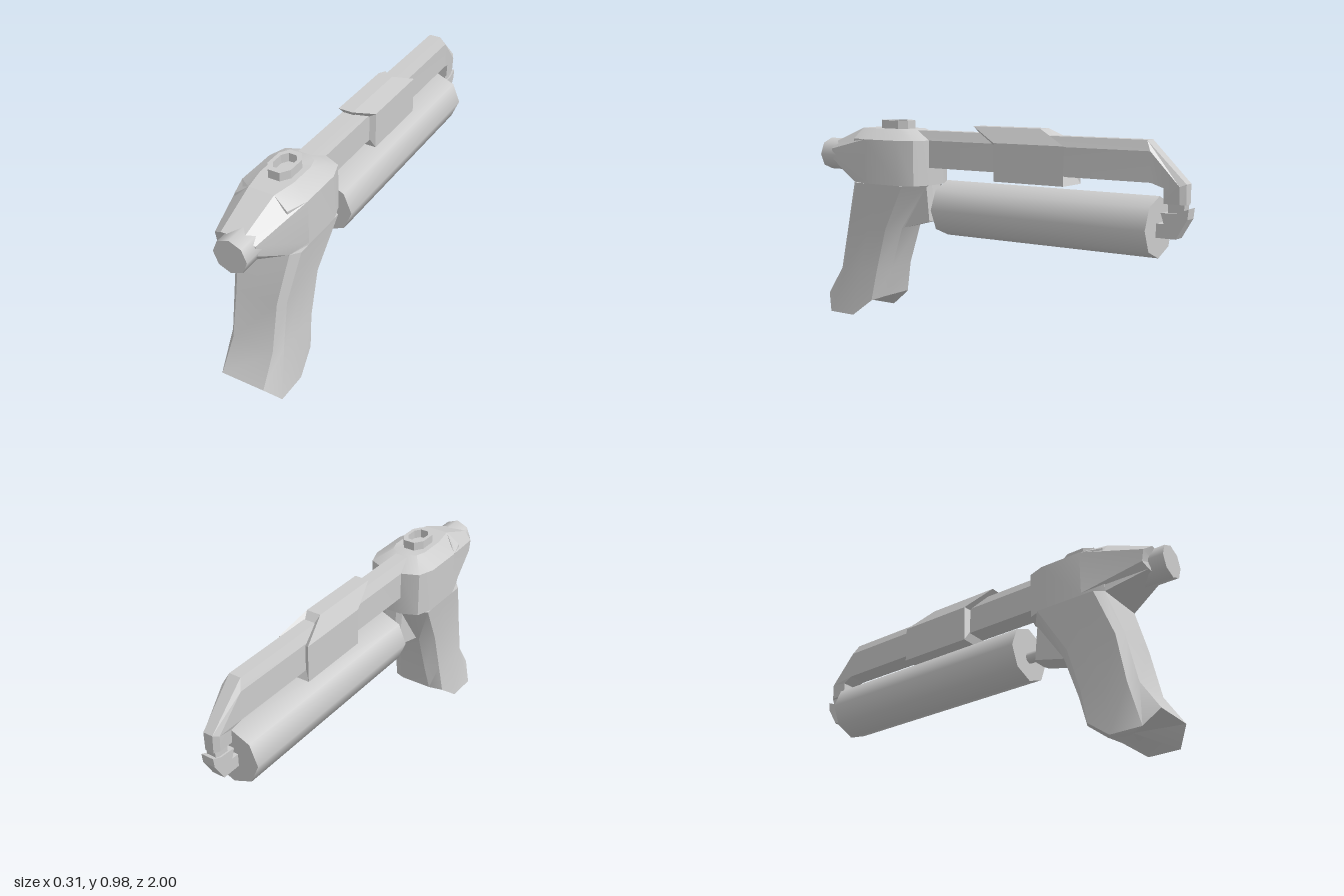
import * as THREE from 'three';
import { toCreasedNormals } from 'three/addons/utils/BufferGeometryUtils.js';

const material = new THREE.MeshStandardMaterial({ color: 0xcccccc, side: THREE.DoubleSide });

// Closes a half outline (x >= 0) into a symmetric ring.
const mirror = (half) => [...half, ...half.slice().reverse().map(([x, y, z]) => [-x, y, z])];

// Skins a row of half outlines, closes both ends and turns the faces outward.
function loft(halves, crease = 0.5) {
  const rings = halves.map(mirror);
  const n = rings[0].length;
  const positions = rings.flat(2);
  const index = [];
  for (let r = 0; r < rings.length - 1; r++) {
    for (let i = 0; i < n; i++) {
      const a = r * n + i, b = r * n + (i + 1) % n;
      index.push(a, b, b + n, a, b + n, a + n);
    }
  }
  for (const r of [0, rings.length - 1]) {
    const centre = [0, 1, 2].map((k) => rings[r].reduce((s, p) => s + p[k], 0) / n);
    const c = positions.length / 3;
    positions.push(...centre);
    for (let i = 0; i < n; i++) {
      const a = r * n + i, b = r * n + (i + 1) % n;
      index.push(...(r === 0 ? [c, b, a] : [c, a, b]));
    }
  }
  const point = (i) => new THREE.Vector3().fromArray(positions, i * 3);
  let volume = 0;
  for (let i = 0; i < index.length; i += 3) {
    volume += point(index[i]).dot(point(index[i + 1]).cross(point(index[i + 2])));
  }
  if (volume < 0) index.reverse();
  const geometry = new THREE.BufferGeometry();
  geometry.setAttribute('position', new THREE.Float32BufferAttribute(positions, 3));
  geometry.setIndex(index);
  return toCreasedNormals(geometry, crease);
}

// Side outline in (z, y), given a thickness across x.
function plate(points, width) {
  const shape = new THREE.Shape(points.map(([z, y]) => new THREE.Vector2(-z, y)));
  return new THREE.ExtrudeGeometry(shape, { depth: width, bevelEnabled: false })
    .translate(0, 0, -width / 2).rotateY(Math.PI / 2);
}

// Smooth eight-sided rod along z.
const rod = (radius, z0, z1, x, y) =>
  new THREE.CylinderGeometry(radius, radius, z1 - z0, 8)
    .rotateX(Math.PI / 2).translate(x, y, (z0 + z1) / 2);

export function createModel() {
  const group = new THREE.Group();
  const add = (name, geometry) => {
    const mesh = new THREE.Mesh(geometry, material);
    mesh.name = name;
    group.add(mesh);
  };

  // Grip: waisted, raked handle with a flared foot
  add('grip', loft([
    [[0.105, 0.08, 0.96], [0.157, 0, 0.90], [0.157, 0, 0.75], [0.14, 0.085, 0.64], [0.08, 0.10, 0.605]],
    [[0.10, 0.22, 0.87], [0.13, 0.22, 0.83], [0.13, 0.23, 0.72], [0.13, 0.24, 0.61], [0.07, 0.24, 0.565]],
    [[0.10, 0.45, 0.82], [0.13, 0.45, 0.79], [0.13, 0.45, 0.66], [0.13, 0.45, 0.55], [0.07, 0.45, 0.495]],
    [[0.125, 0.67, 0.75], [0.157, 0.67, 0.71], [0.157, 0.67, 0.55], [0.157, 0.67, 0.42], [0.06, 0.67, 0.345]],
  ], 0.6));

  // Housing: rounded block with a bevelled top
  const plan = [[0.05, 0.335], [0.13, 0.37], [0.157, 0.45], [0.157, 0.65], [0.125, 0.75]];
  const topPlan = [[0.03, 0.43], [0.065, 0.45], [0.08, 0.50], [0.08, 0.63], [0.06, 0.74]];
  const level = (outline, y) => outline.map(([x, z]) => [x, y, z]);
  add('housing', loft([level(plan, 0.67), level(plan, 0.885), level(topPlan, 0.935)]));

  // Nose: tapers from the housing to the knob
  add('nose', loft([
    [[0.125, 0.67, 0.75], [0.157, 0.68, 0.65], [0.157, 0.885, 0.65], [0.06, 0.935, 0.74]],
    [[0.06, 0.745, 0.93], [0.095, 0.77, 0.92], [0.095, 0.825, 0.93], [0.05, 0.855, 0.95]],
  ], 0.3));
  add('knob', rod(0.079, 0.85, 1.0, 0.023, 0.795));

  // Collar: oval rim around the opening on top
  const oval = (w, l) => [[-w, -l / 2], [-w / 2, -l], [w / 2, -l], [w, -l / 2],
    [w, l / 2], [w / 2, l], [-w / 2, l], [-w, l / 2]].map(([x, y]) => new THREE.Vector2(x, y));
  const rim = new THREE.Shape(oval(0.055, 0.083));
  rim.holes.push(new THREE.Path(oval(0.038, 0.058)));
  add('collar', new THREE.ExtrudeGeometry(rim, {
    depth: 0.05, bevelEnabled: false,
  }).rotateX(-Math.PI / 2).translate(0, 0.925, 0.567));

  // Upper bar: bevelled beam that bends down at the far end
  const barSection = ([oz, oy, bz, by, iz, iy, w]) =>
    [[w * 0.6, oy, oz], [w, by, bz], [w, iy, iz]];
  add('upperBar', loft([
    [0.44, 0.93, 0.44, 0.885, 0.44, 0.755, 0.052],
    [-0.80, 0.93, -0.825, 0.885, -0.83, 0.755, 0.047],
    [-0.98, 0.755, -0.955, 0.745, -0.885, 0.735, 0.038],
    [-0.98, 0.67, -0.955, 0.67, -0.885, 0.67, 0.035],
  ].map(barSection), 0.2));

  // Hook below the bar that holds the far end of the tube
  add('hookNeck', plate([[-0.90, 0.68], [-0.975, 0.68], [-0.965, 0.60], [-0.90, 0.60]], 0.045));
  add('hookClaw', plate([[-0.87, 0.63], [-0.95, 0.635], [-0.995, 0.655], [-0.99, 0.61],
    [-0.94, 0.525], [-0.84, 0.525], [-0.84, 0.585], [-0.885, 0.585]], 0.06));

  // Sleeve: slanted cover over the bar
  add('sleeve', loft([
    [[0.035, 0.96, 0.085], [0.075, 0.89, -0.055], [0.075, 0.715, -0.055]],
    [[0.035, 0.96, -0.28], [0.075, 0.89, -0.425], [0.075, 0.715, -0.425]],
  ], 0.2));

  // Lower tube with its bracket and stub
  add('lowerTube', rod(0.132, -0.85, 0.265, 0, 0.565));
  add('tubeStub', rod(0.027, 0.25, 0.34, 0, 0.547));
  add('tubeBracket', loft([
    [[0.03, 0.75, 0.345], [0.055, 0.75, 0.36], [0.055, 0.72, 0.45]],
    [[0.03, 0.50, 0.32], [0.055, 0.495, 0.335], [0.055, 0.45, 0.51]],
  ], 0.2));

  return group;
}
